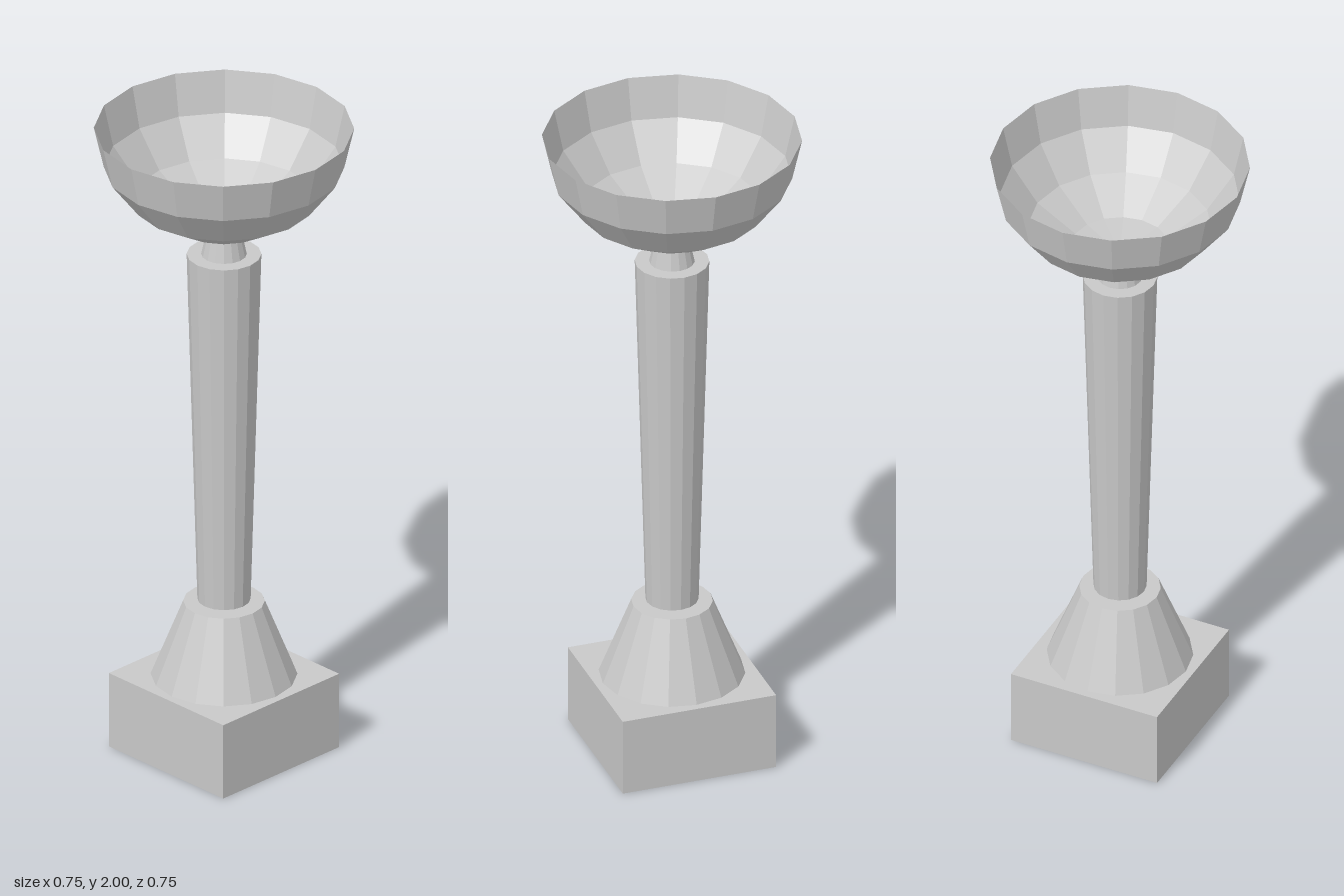
import * as THREE from 'three';

const SIDES = 16;

export function createModel() {
  const group = new THREE.Group();
  const stone = new THREE.MeshStandardMaterial({ color: 0xc8c8c8, flatShading: true, side: THREE.DoubleSide });
  stone.name = 'pale grey stone';

  const add = (name, geometry, y) => {
    const mesh = new THREE.Mesh(geometry, stone);
    mesh.name = name;
    mesh.position.y = y;
    group.add(mesh);
    return mesh;
  };

  // Tapered round part standing between two heights
  const taper = (name, rBottom, rTop, y0, y1) =>
    add(name, new THREE.CylinderGeometry(rTop, rBottom, y1 - y0, SIDES), (y0 + y1) / 2);

  // Square plinth
  add('plinth', new THREE.BoxGeometry(0.47, 0.237, 0.47), 0.1185);

  // Conical foot, column widening upwards, and short neck
  taper('foot', 0.212, 0.118, 0.237, 0.473);
  taper('column', 0.077, 0.108, 0.48, 1.594);
  taper('neck', 0.066, 0.047, 1.594, 1.68);

  // Open, thin bowl: a slightly flattened lower half sphere
  const bowl = new THREE.SphereGeometry(0.376, SIDES, 4, 0, Math.PI * 2, Math.PI / 2, Math.PI / 2);
  bowl.scale(1, 0.328 / 0.376, 1);
  add('bowl', bowl, 2);

  return group;
}
